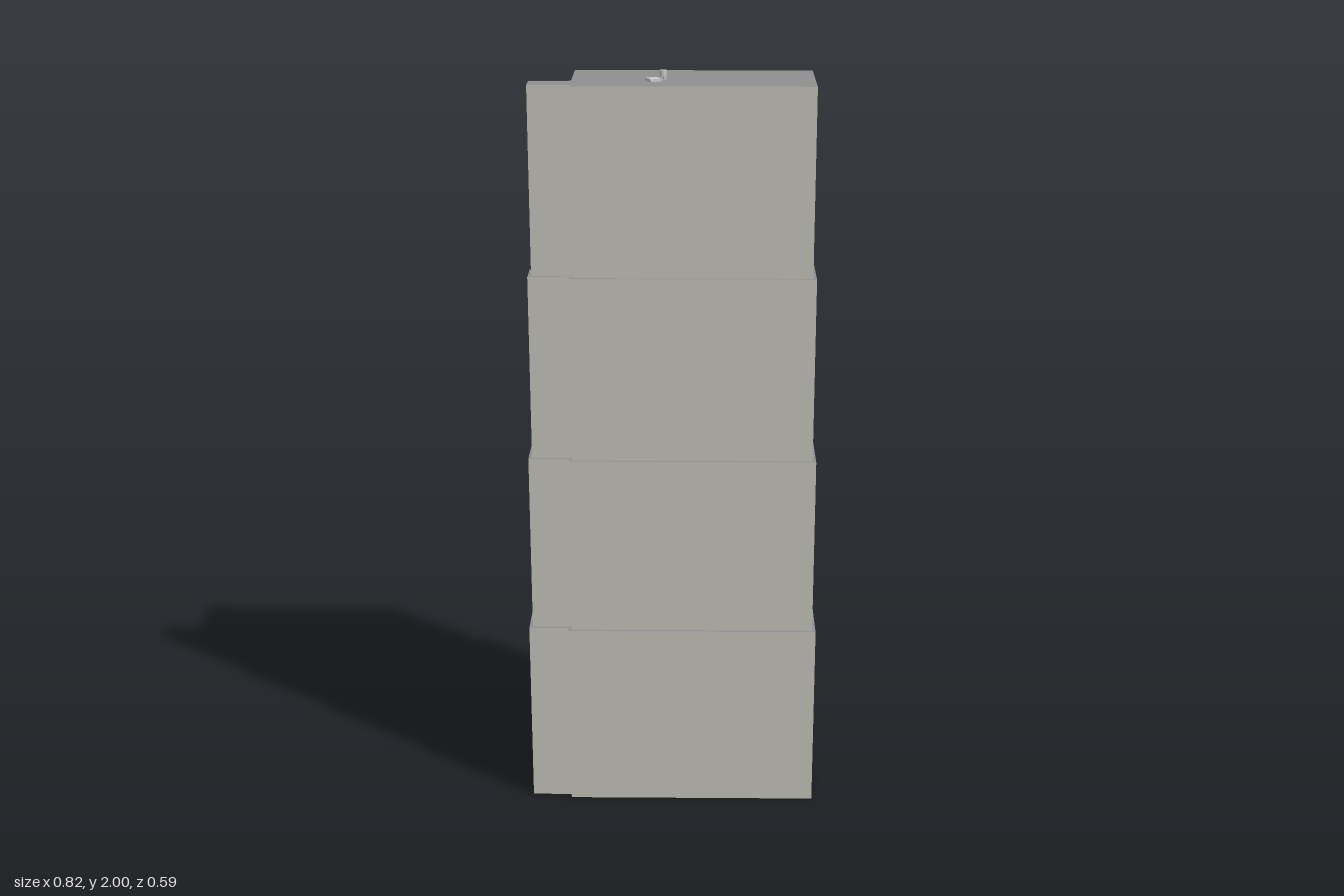
import * as THREE from 'three';

const wall = new THREE.MeshStandardMaterial({ color: 0xc6c5bc });
const roof = new THREE.MeshStandardMaterial({ color: 0x909090 });
const grey = new THREE.MeshStandardMaterial({ color: 0xcccccc });

// Ground floor plan [x, z] in the tower's own axes, before it is turned on the site
const plan = [
  [-0.298, -0.174], [0.37, -0.174], [0.37, 0.129], [-0.298, 0.129], [-0.298, 0.111],
  [-0.405, 0.111], [-0.405, -0.002], [-0.304, -0.002], [-0.304, -0.014], [-0.298, -0.014],
];
const levels = [0, 0.51, 0.995, 1.487, 1.975];
const setback = 0.009;
const turn = -0.506;

// Moves every wall of the right-angled plan inwards by d
function insetPlan(points, d) {
  const n = points.length;
  const inward = (a, b) => [-Math.sign(b[1] - a[1]), Math.sign(b[0] - a[0])];
  return points.map((p, i) => {
    const n1 = inward(points[(i + n - 1) % n], p);
    const n2 = inward(p, points[(i + 1) % n]);
    return new THREE.Vector2(p[0] + d * (n1[0] + n2[0]), -(p[1] + d * (n1[1] + n2[1])));
  });
}

function addMesh(parent, name, geometry, material, x, y, z) {
  const mesh = new THREE.Mesh(geometry, material);
  mesh.name = name;
  mesh.position.set(x, y, z);
  parent.add(mesh);
  return mesh;
}

export function createModel() {
  const model = new THREE.Group();
  model.name = 'steppedTower';

  // Four stacked tiers, each set back from the one below
  const tower = new THREE.Group();
  tower.name = 'tower';
  tower.rotation.y = turn;
  model.add(tower);
  for (let i = 0; i < 4; i++) {
    const geometry = new THREE.ExtrudeGeometry(
      new THREE.Shape(insetPlan(plan, setback * i)),
      { depth: levels[i + 1] - levels[i], bevelEnabled: false },
    );
    geometry.rotateX(-Math.PI / 2);
    addMesh(tower, `tier${i + 1}`, geometry, [roof, wall], 0, levels[i], 0);
  }

  // Low plant box on the roof
  const top = levels[4];
  addMesh(model, 'roofBox', new THREE.BoxGeometry(0.03, 0.007, 0.03), grey, -0.066, top + 0.0035, -0.014);

  // Small water tank on four legs
  const tank = new THREE.Group();
  tank.name = 'waterTank';
  tank.position.set(-0.038, top, -0.014);
  model.add(tank);
  addMesh(tank, 'tankBody', new THREE.CylinderGeometry(0.009, 0.009, 0.014, 16), grey, 0, 0.018, 0);
  for (const sx of [-1, 1]) {
    for (const sz of [-1, 1]) {
      addMesh(tank, 'tankLeg', new THREE.BoxGeometry(0.0015, 0.012, 0.0015), grey, sx * 0.005, 0.006, sz * 0.005);
    }
  }
  return model;
}
